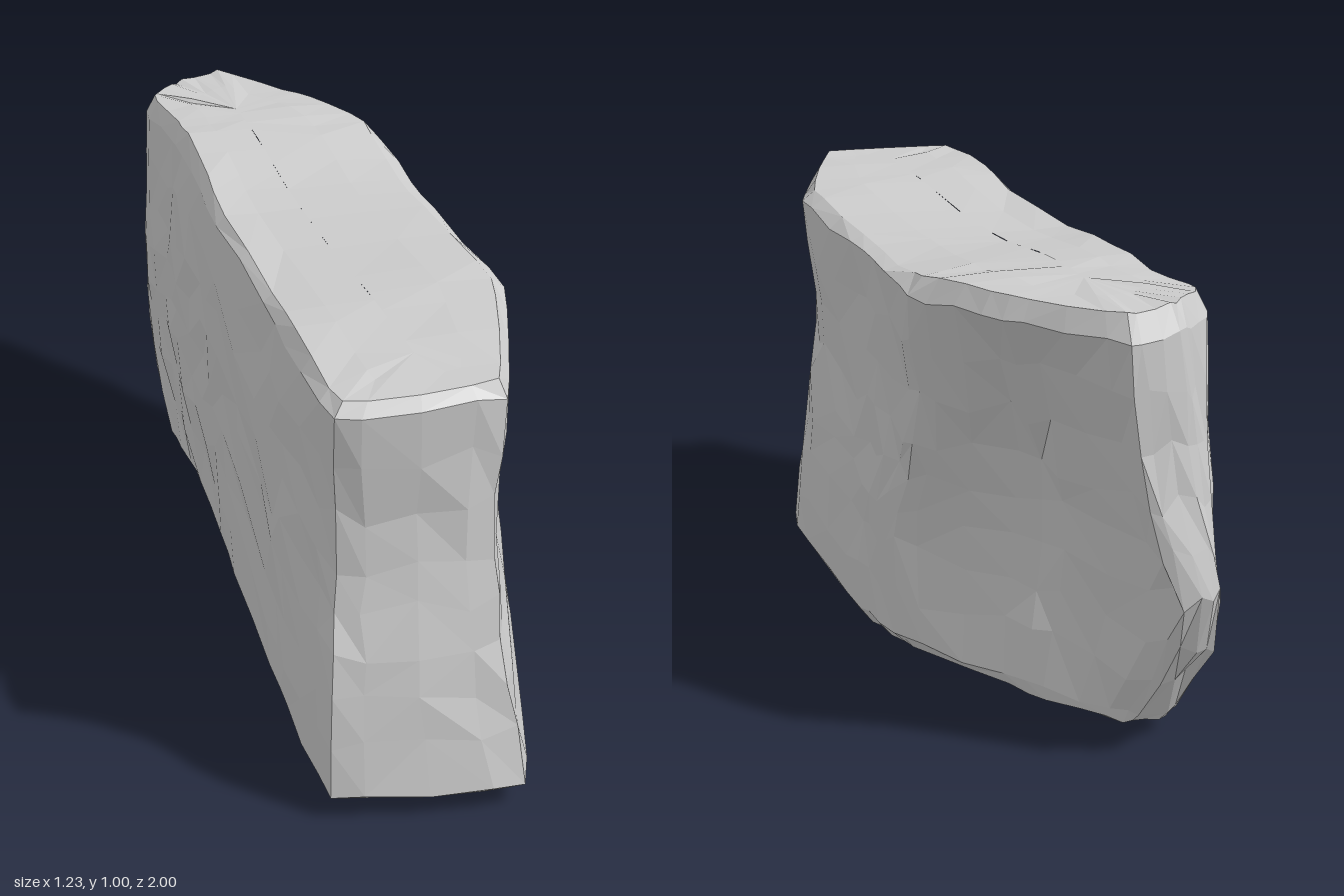
import * as THREE from 'three';

// Plan outlines [x, z] at four heights, all starting at the front left corner
// and running back along the left face, round the back end, then forward.
// The two middle outlines dip inward on the right to hollow the back end.
const OUTLINES = [
  { y: 0.06, pts: [[-.61, .74], [-.42, .38], [-.1, -.15], [.12, -.52], [.21, -.72], [.29, -.82],
    [.38, -.76], [.42, -.5], [.43, -.12], [.36, .1], [.1, .62], [-.28, 1]] },
  { y: 0.36, pts: [[-.59, .72], [-.38, .32], [-.04, -.26], [.18, -.67], [.28, -.88], [.38, -1],
    [.45, -.94], [.38, -.5], [.44, -.11], [.38, .06], [.11, .57], [-.28, .92]] },
  { y: 0.62, pts: [[-.545, .68], [-.36, .28], [-.04, -.28], [.17, -.66], [.28, -.88], [.37, -.94],
    [.49, -.89], [.42, -.53], [.5, -.24], [.37, .04], [.11, .51], [-.27, .87]] },
  { y: 0.945, pts: [[-.575, .7], [-.36, .31], [-.02, -.29], [.18, -.63], [.28, -.87], [.4, -.91],
    [.56, -.9], [.61, -.6], [.6, -.33], [.39, .03], [.13, .53], [-.25, .87]] },
];
const COLS = 48;
const ROWS = 9;

let seed;
function rand(amount) {
  seed = (seed * 16807) % 2147483647;
  return (seed / 2147483647 * 2 - 1) * amount;
}

// Uneven heights of the top and bottom faces
const { smoothstep } = THREE.MathUtils;
const topHeight = (x, z) => 0.96 + 0.035 * smoothstep(-z, 0.1, 0.5) + 0.018 * smoothstep(z, 0.1, 0.45);
const bottomHeight = (x, z) => 0.034 - 0.03 * Math.exp(-((x - 0.2) ** 2 + (z - 0.28) ** 2) / 0.12);

// Caps shrink toward a centre line along the length of the slab
const spine = new THREE.Line3(new THREE.Vector3(-0.29, 0, 0.65), new THREE.Vector3(0.38, 0, -0.62));
function capRing(rim, inset, height) {
  return rim.map((p) => {
    const flat = new THREE.Vector3(p.x, 0, p.z);
    flat.lerp(spine.closestPointToPoint(flat, true, new THREE.Vector3()), inset);
    flat.y = height(flat.x, flat.z);
    if (inset < 1) flat.y += rand(0.005);
    return flat;
  });
}

function slabGeometry() {
  // Low tension keeps the plan corners crisp; columns run smoothly upward
  const levels = OUTLINES.map(({ y, pts }) =>
    new THREE.CatmullRomCurve3(pts.map(([x, z]) => new THREE.Vector3(x, y, z)), true, 'catmullrom', 0.15));
  const sides = Array.from({ length: ROWS }, () => []);
  for (let i = 0; i < COLS; i++) {
    const column = new THREE.CatmullRomCurve3(levels.map((c) => c.getPoint(i / COLS)));
    for (let r = 0; r < ROWS; r++) {
      const p = column.getPoint(r / (ROWS - 1));
      const inner = r > 0 && r < ROWS - 1;
      const rough = inner ? 0.007 : 0.004;
      p.x += rand(rough);
      p.z += rand(rough);
      p.y += rand(inner ? 0.025 : 0.008);
      sides[r].push(p);
    }
  }
  const base = sides[0];
  const rim = sides[ROWS - 1];
  const rings = [
    capRing(base, 1, bottomHeight), capRing(base, 0.5, bottomHeight), capRing(base, 0.1, bottomHeight),
    ...sides,
    capRing(rim, 0.1, topHeight), capRing(rim, 0.5, topHeight), capRing(rim, 1, topHeight),
  ];

  // Join neighbouring rings, with the diagonals chosen irregularly
  const index = [];
  for (let r = 0; r < rings.length - 1; r++) {
    for (let i = 0; i < COLS; i++) {
      const a = r * COLS + i;
      const b = r * COLS + (i + 1) % COLS;
      const c = a + COLS;
      const d = b + COLS;
      if (rand(1) > 0) index.push(a, d, b, a, c, d);
      else index.push(a, c, b, b, c, d);
    }
  }
  const geometry = new THREE.BufferGeometry().setFromPoints(rings.flat());
  geometry.setIndex(index);
  geometry.computeVertexNormals();
  return geometry;
}

export function createModel() {
  seed = 7;
  const group = new THREE.Group();
  group.name = 'rockSlab';
  const material = new THREE.MeshStandardMaterial({ color: 0xcccccc, flatShading: true });
  const slab = new THREE.Mesh(slabGeometry(), material);
  slab.name = 'rock';
  group.add(slab);
  return group;
}
